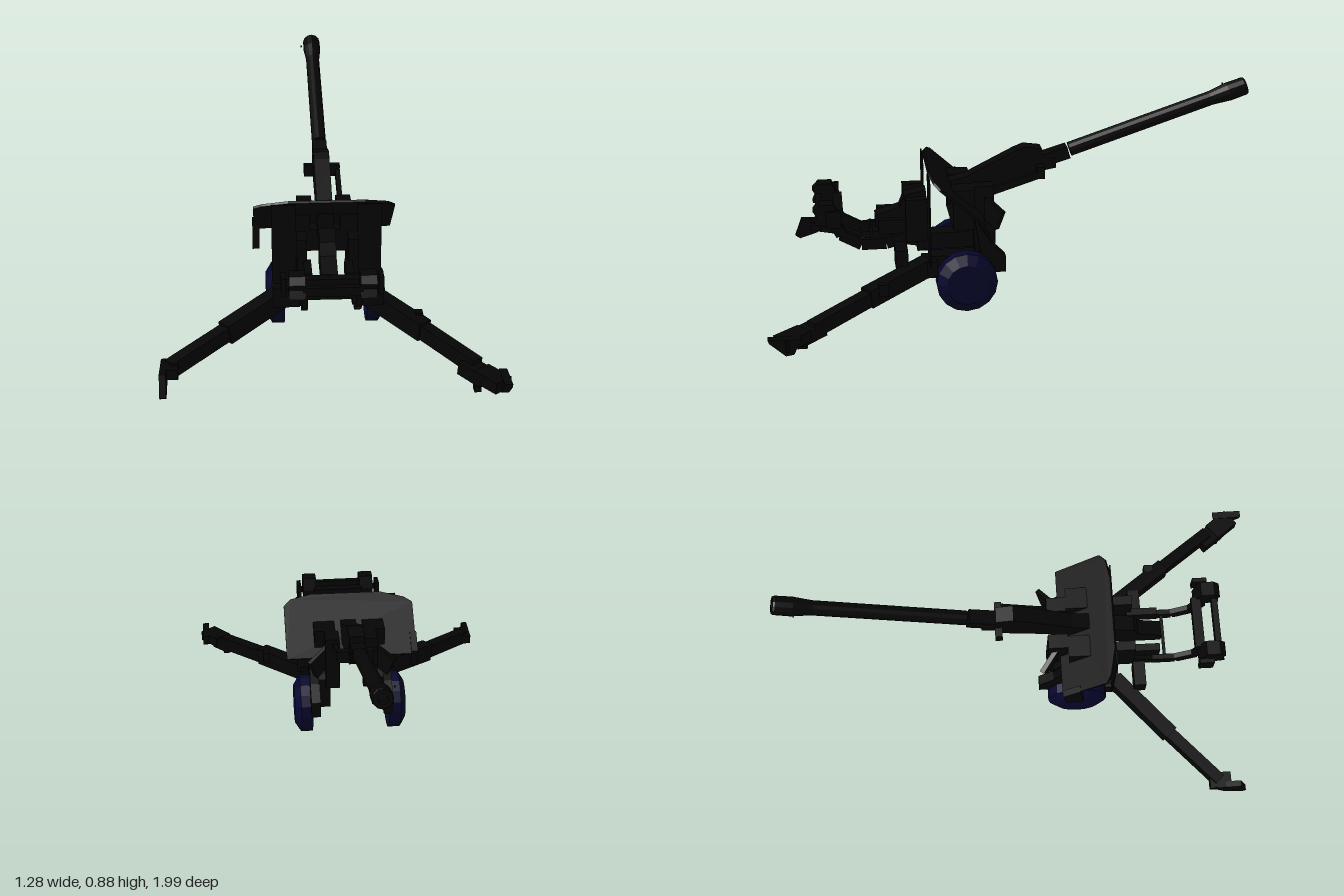
import * as THREE from 'three';

export function createModel() {
  const model = new THREE.Group();
  model.name = 'fieldGun';
  const black = new THREE.MeshStandardMaterial({ color: 0x050505, flatShading: true });
  black.name = 'blackMetal';
  const navy = new THREE.MeshStandardMaterial({ color: 0x06062e, flatShading: true });
  navy.name = 'navyRubber';

  const add = (name, geo, mat = black) => {
    const mesh = new THREE.Mesh(geo, mat);
    mesh.name = name;
    model.add(mesh);
    return mesh;
  };
  // Box given by its ranges on each axis
  const box = (name, x0, x1, y0, y1, z0, z1) => {
    const m = add(name, new THREE.BoxGeometry(x1 - x0, y1 - y0, z1 - z0));
    m.position.set((x0 + x1) / 2, (y0 + y1) / 2, (z0 + z1) / 2);
    return m;
  };
  // Square beam between two points
  const beam = (name, a, b, w, h) => {
    const p = new THREE.Vector3(...a), q = new THREE.Vector3(...b);
    const m = add(name, new THREE.BoxGeometry(w, h, p.distanceTo(q)));
    m.position.copy(p).lerp(q, 0.5);
    m.lookAt(q);
    return m;
  };
  // Side profile of [z, y] points, extruded across x0..x1
  const slab = (name, pts, x0, x1) => {
    const shape = new THREE.Shape(pts.map(p => new THREE.Vector2(...p)));
    const geo = new THREE.ExtrudeGeometry(shape, { depth: x1 - x0, bevelEnabled: false });
    geo.rotateY(-Math.PI / 2).translate(x1, 0, 0);
    return add(name, geo);
  };

  // Barrel with flared muzzle, turned along its axis and laid on the elevation line
  const profile = [[0, 0], [0.03, 0], [0.03, 0.62], [0.033, 0.65], [0.039, 0.7],
    [0.038, 0.77], [0.034, 0.778], [0.02, 0.778], [0.02, 0.73], [0, 0.73]];
  const tilt = Math.atan2(0.24, 0.73);
  const barrel = add('barrel', new THREE.LatheGeometry(profile.map(p => new THREE.Vector2(...p)), 12));
  barrel.position.set(0, 0.608, -0.25);
  barrel.rotation.x = -(Math.PI / 2 - tilt);
  beam('barrelRoot', [0, 0.602, -0.243], [0, 0.5, 0.1], 0.06, 0.052);
  box('muzzleSight', -0.053, -0.047, 0.845, 0.851, -0.908, -0.902);

  // Cradle, recoil housing and breech
  slab('recoilHousing', [[0.26, 0.5], [0.18, 0.52], [-0.02, 0.62], [-0.06, 0.635], [-0.13, 0.625],
    [-0.13, 0.585], [-0.19, 0.58], [-0.19, 0.54], [-0.13, 0.53], [-0.13, 0.5], [0.07, 0.46],
    [0.26, 0.4]], -0.032, 0.032);
  slab('breech', [[0.35, 0.47], [0.44, 0.45], [0.46, 0.4], [0.56, 0.37], [0.56, 0.32],
    [0.44, 0.32], [0.35, 0.33]], -0.032, 0.032);
  box('collar', -0.07, 0.08, 0.51, 0.56, -0.135, -0.105);
  beam('recoilRod', [0.07, 0.53, -0.12], [0.07, 0.46, 0.1], 0.02, 0.03);
  box('elevationGear', -0.1, 0.1, 0.33, 0.42, 0.18, 0.25);
  box('elevationShaft', -0.08, 0.08, 0.275, 0.287, 0.39, 0.41);
  box('shaftPost', -0.015, 0.015, 0.28, 0.34, 0.385, 0.415);

  // Sloped shield
  const outline = [[-0.285, 0], [-0.285, 0.235], [-0.25, 0.26], [-0.15, 0.288], [0.15, 0.29],
    [0.24, 0.27], [0.27, 0.24], [0.27, 0]].map(p => new THREE.Vector2(...p));
  const shield = add('shield', new THREE.ExtrudeGeometry(new THREE.Shape(outline), { depth: 0.01, bevelEnabled: false }));
  shield.position.set(0, 0.39, 0.13);
  shield.rotation.x = Math.atan2(0.22, 0.2);
  slab('shieldFlap', [[0.13, 0.4], [0.2, 0.46], [0.22, 0.33], [0.15, 0.32]], -0.29, -0.262);

  for (const s of [-1, 1]) {
    const side = s > 0 ? 'left' : 'right';
    const mbox = (name, x0, x1, ...r) => box(side + name, Math.min(s * x0, s * x1), Math.max(s * x0, s * x1), ...r);
    const mslab = (name, pts, x0, x1) => slab(side + name, pts, Math.min(s * x0, s * x1), Math.max(s * x0, s * x1));

    // Wheel with bevelled outer rim
    const rim = [[0, -0.037], [0.125, -0.037], [0.125, 0.012], [0.085, 0.037], [0, 0.037]];
    const wheel = add(side + 'Wheel', new THREE.LatheGeometry(rim.map(p => new THREE.Vector2(...p)), 16), navy);
    wheel.position.set(s * 0.203, 0.126, 0.203);
    wheel.rotation.z = -s * Math.PI / 2;

    // Carriage frame beside each wheel
    mslab('CradleArm', [[0.16, 0.5], [0.08, 0.5], [0.075, 0.27], [0.1, 0.26], [0.16, 0.4]], 0.05, 0.11);
    mslab('TrunnionPlate', [[0.25, 0.5], [0.16, 0.5], [0.17, 0.33], [0.25, 0.33]], 0.06, 0.15);
    mslab('AxleArm', [[0.17, 0.4], [0.1, 0.28], [0.04, 0.22], [0.04, 0.15], [0.1, 0.15], [0.14, 0.23]], 0.135, 0.175);
    mslab('AxleKnuckle', [[0.17, 0.4], [0.1, 0.3], [0.09, 0.17], [0.16, 0.17]], 0.09, 0.14);
    beam(side + 'FinBrace', [s * 0.08, 0.42, 0.13], [s * 0.168, 0.37, 0.06], 0.02, 0.09);
    mbox('AxleHub', 0.09, 0.168, 0.16, 0.23, 0.14, 0.35);
    mbox('ShieldPost', 0.12, 0.215, 0.2, 0.57, 0.346, 0.352);
    mbox('TrailHinge', 0.1, 0.2, 0.15, 0.22, 0.32, 0.38);

    // Crew platform supports and curved seat arm
    mbox('SeatBracket', 0.08, 0.12, 0.28, 0.46, 0.352, 0.44);
    mbox('BracketStep', 0.065, 0.095, 0.31, 0.37, 0.42, 0.55);
    mbox('FootColumn', 0.11, 0.215, 0.2, 0.28, 0.44, 0.49);
    const path = [[0.42, 0.3], [0.52, 0.275], [0.62, 0.275], [0.7, 0.32], [0.735, 0.39]];
    for (let i = 0; i < path.length - 1; i++) {
      beam(side + 'SeatArm', [s * 0.1, path[i][1], path[i][0]], [s * 0.1, path[i + 1][1], path[i + 1][0]], 0.022, 0.045);
    }
    mslab('SeatBack', [[0.705, 0.37], [0.71, 0.42], [0.73, 0.47], [0.785, 0.47], [0.81, 0.445],
      [0.795, 0.42], [0.81, 0.39], [0.76, 0.38]], 0.1, 0.16);
    mbox('SeatHandle', 0.17, 0.188, 0.38, 0.45, 0.7, 0.76);
    mbox('SeatHandleBar', 0.15, 0.18, 0.41, 0.43, 0.72, 0.74);
  }
  box('armTie', -0.11, 0.11, 0.275, 0.287, 0.57, 0.582);
  box('seatFrontRail', -0.11, 0.11, 0.395, 0.43, 0.69, 0.73);
  box('seatRearRail', -0.11, 0.11, 0.395, 0.43, 0.775, 0.8);

  // Left trail leg with folded spade
  beam('leftTrail', [0.16, 0.19, 0.36], [0.36, 0.15, 0.615], 0.06, 0.075);
  beam('leftTrailTail', [0.35, 0.15, 0.6], [0.53, 0.11, 0.83], 0.048, 0.06);
  beam('leftSpadeMount', [0.49, 0.1, 0.8], [0.56, 0.09, 0.89], 0.075, 0.05);
  beam('leftSpadeArm', [0.54, 0.1, 0.86], [0.61, 0.095, 0.95], 0.08, 0.045);
  box('leftSpadePeg', 0.515, 0.54, 0.035, 0.09, 0.85, 0.89);
  slab('leftSpade', [[0.87, 0.12], [0.995, 0.125], [0.99, 0.11], [0.93, 0.055], [0.9, 0.06]], 0.605, 0.635);
  box('leftTrailLatch', 0.33, 0.36, 0.15, 0.2, 0.53, 0.57);

  // Right trail leg with upright spade
  beam('rightTrail', [-0.16, 0.2, 0.36], [-0.4, 0.145, 0.585], 0.06, 0.08);
  beam('rightTrailTail', [-0.39, 0.147, 0.575], [-0.6, 0.105, 0.78], 0.048, 0.06);
  box('rightSpadeMount', -0.635, -0.57, 0.085, 0.125, 0.74, 0.83);
  slab('rightSpade', [[0.74, 0.12], [0.87, 0.13], [0.9, 0.05], [0.88, 0.035], [0.8, 0.06]], -0.637, -0.612);

  return model;
}
